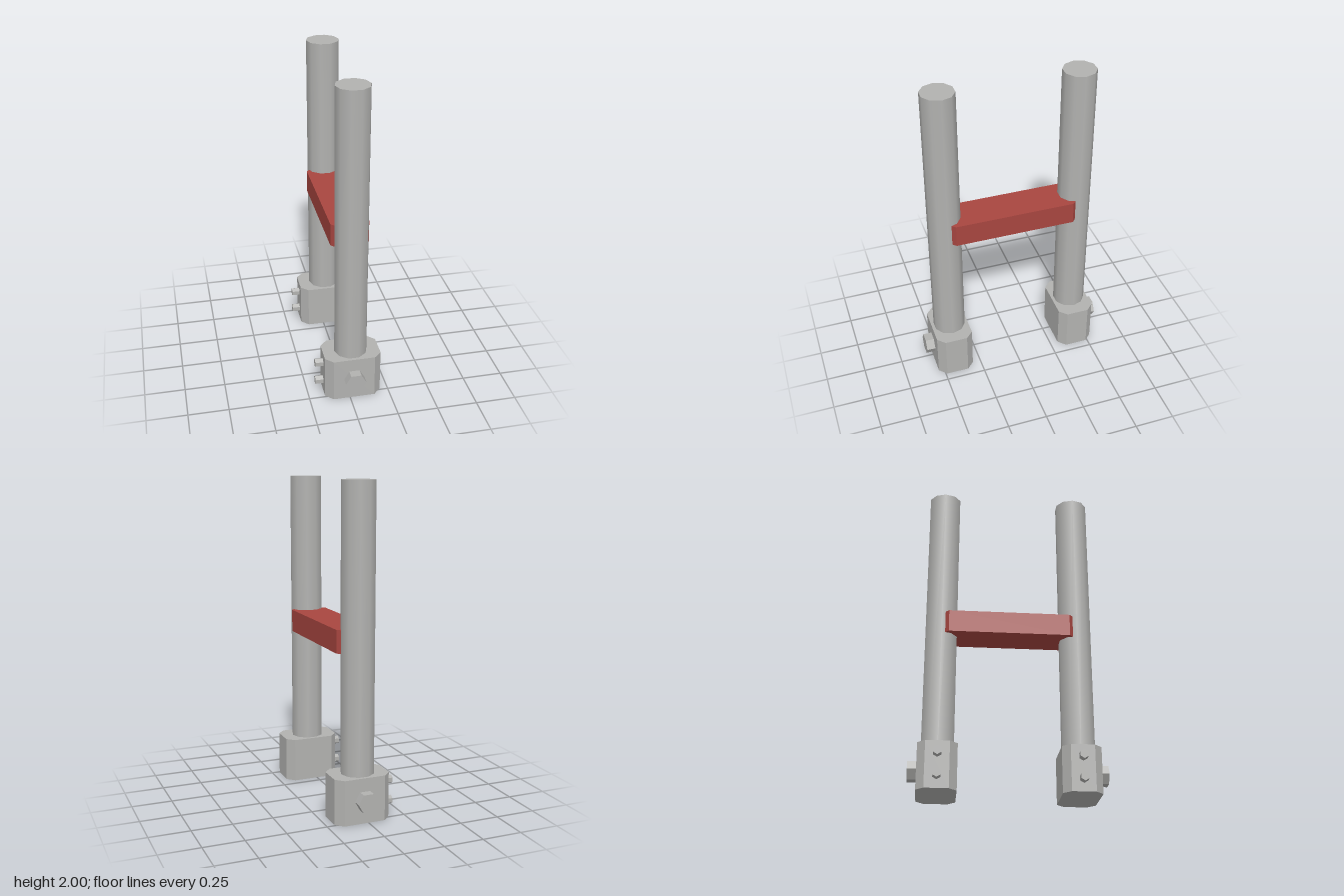
import * as THREE from 'three';

const steel = new THREE.MeshStandardMaterial({ color: 0xb2b2b0, flatShading: true });
steel.name = 'steel grey';
const smoothSteel = new THREE.MeshStandardMaterial({ color: 0xb2b2b0 });
smoothSteel.name = 'post grey';
const red = new THREE.MeshStandardMaterial({ color: 0xa84640, flatShading: true });
red.name = 'beam red';

const CX = 0.025;   // shared centre line of posts, bases and beam
const POST_Z = 0.419;

// Upright block with chamfered vertical edges, standing on y = 0
function chamferedBlock(width, depth, height, c) {
  const w = width / 2, d = depth / 2;
  const shape = new THREE.Shape([
    [w, -d + c], [w, d - c], [w - c, d], [-w + c, d],
    [-w, d - c], [-w, -d + c], [-w + c, -d], [w - c, -d],
  ].map(([x, y]) => new THREE.Vector2(x, y)));
  return new THREE.ExtrudeGeometry(shape, { depth: height, bevelEnabled: false }).rotateX(-Math.PI / 2);
}

// Hexagonal bolt with corners on +-x, axis along y
function hexBolt(radius, length) {
  return new THREE.CylinderGeometry(radius, radius, length, 6).rotateY(Math.PI / 6);
}

function add(parent, name, geometry, material, x, y, z) {
  const mesh = new THREE.Mesh(geometry, material);
  mesh.name = name;
  mesh.position.set(x, y, z);
  parent.add(mesh);
}

export function createModel() {
  const model = new THREE.Group();
  model.name = 'twinPostFrame';

  for (const [name, s] of [['front', 1], ['back', -1]]) {
    const support = new THREE.Group();
    support.name = name + 'Support';
    model.add(support);

    // Ten-sided post with smooth sides, rising from the base
    const post = new THREE.CylinderGeometry(0.102, 0.102, 1.74, 10).rotateY(Math.PI / 2);
    add(support, name + 'Post', post, smoothSteel, CX, 1.13, s * POST_Z);

    // Chamfered foot
    add(support, name + 'Base', chamferedBlock(0.35, 0.234, 0.28, 0.046), steel, CX, 0, s * POST_Z);

    // Large bolt on the outer end
    add(support, name + 'EndBolt', hexBolt(0.064, 0.08).rotateX(Math.PI / 2), steel, CX, 0.142, s * 0.55);

    // Pair of small bolts on the right side
    for (const y of [0.077, 0.208]) {
      add(support, name + 'SideBolt', hexBolt(0.027, 0.08).rotateZ(Math.PI / 2), steel, -0.16, y, s * POST_Z);
    }
  }

  // Cross beam, its chamfered ends buried in the posts
  add(model, 'crossBeam', chamferedBlock(0.232, 0.84, 0.14, 0.046), red, CX, 1.003, 0);

  return model;
}
